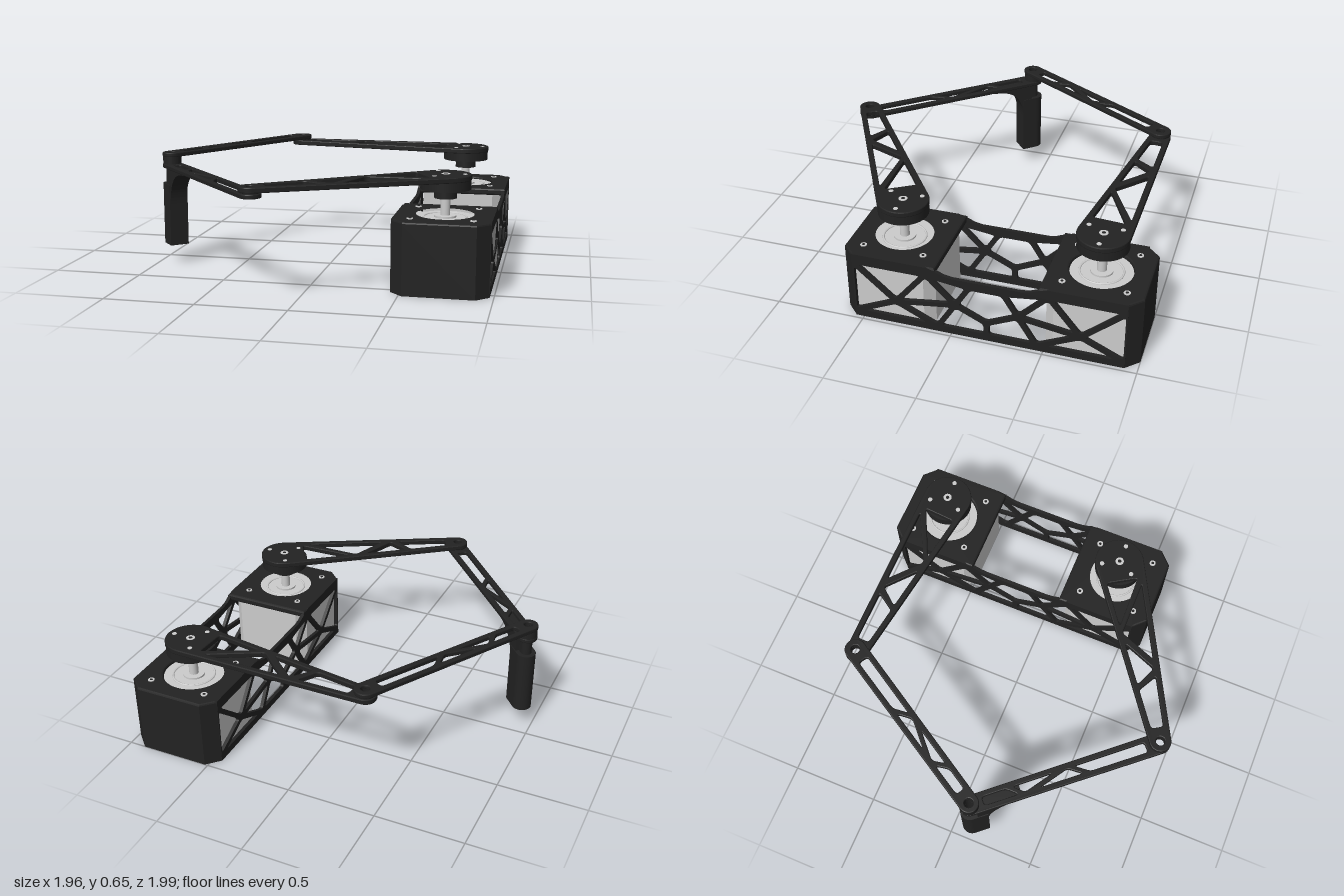
import * as THREE from 'three';

const black = new THREE.MeshStandardMaterial({ color: 0x222222 });
const silver = new THREE.MeshStandardMaterial({ color: 0xcccccc });
const V = (x, y) => new THREE.Vector2(x, y);

function add(parent, name, geometry, material = black) {
  const mesh = new THREE.Mesh(geometry, material);
  mesh.name = name;
  parent.add(mesh);
  return mesh;
}

function disc(parent, name, r, y0, y1, x, z, material = black) {
  const mesh = add(parent, name, new THREE.CylinderGeometry(r, r, y1 - y0, 40), material);
  mesh.position.set(x, (y0 + y1) / 2, z);
  return mesh;
}

// Extrusion whose bevel stays inside the outline
function extrude(shape, depth, bevel = 0) {
  const g = new THREE.ExtrudeGeometry(shape, {
    depth: depth - 2 * bevel, curveSegments: 20, bevelEnabled: bevel > 0,
    bevelThickness: bevel, bevelSize: bevel, bevelOffset: -bevel, bevelSegments: 2,
  });
  return g.translate(0, 0, bevel);
}

// Lays a shape flat (shape y becomes -z) between two heights
const flat = (shape, y0, y1, bevel) =>
  extrude(shape, y1 - y0, bevel).rotateX(-Math.PI / 2).translate(0, y0, 0);

function circleHole(x, y, r) {
  const p = new THREE.Path();
  p.absarc(x, y, r, 0, Math.PI * 2, true);
  return p;
}

// Truss window: polygon inset by half a bar, with rounded corners
function windowHole(points, inset, round = 0.02) {
  const pts = THREE.ShapeUtils.area(points) < 0 ? [...points].reverse() : points;
  const n = pts.length;
  const q = pts.map((c, i) => {
    const a = c.clone().sub(pts[(i + n - 1) % n]).normalize();
    const b = pts[(i + 1) % n].clone().sub(c).normalize();
    const k = inset / (1 + a.dot(b));
    return V(c.x - (a.y + b.y) * k, c.y + (a.x + b.x) * k);
  });
  const toward = (a, b) => a.clone().lerp(b, Math.min(0.35, round / a.distanceTo(b)));
  const path = new THREE.Path();
  q.forEach((c, i) => {
    const s = toward(c, q[(i + n - 1) % n]), e = toward(c, q[(i + 1) % n]);
    if (i) path.lineTo(s.x, s.y); else path.moveTo(s.x, s.y);
    path.quadraticCurveTo(c.x, c.y, e.x, e.y);
  });
  path.closePath();
  return path;
}

// Tapered truss link from point a to point b; windows are lists of [fraction, side]
function link(parent, name, a, b, ra, rb, y0, y1, windows, flip, holeB) {
  const L = Math.hypot(b[0] - a[0], b[1] - a[1]);
  const t = Math.acos((ra - rb) / L);
  const shape = new THREE.Shape();
  shape.absarc(0, 0, ra, t, Math.PI * 2 - t, false);
  shape.absarc(L, 0, rb, -t, t, false);
  shape.holes.push(circleHole(0, 0, 0.025));
  if (holeB) shape.holes.push(circleHole(L, 0, 0.025));
  for (const w of windows) {
    const pts = w.map(([s, side]) => V(s * L, flip * side * (ra + (rb - ra) * s - 0.018)));
    shape.holes.push(windowHole(pts, 0.013));
  }
  const mesh = add(parent, name, flat(shape, y0, y1, 0.005));
  mesh.position.set(a[0], 0, a[1]);
  mesh.rotation.y = Math.atan2(a[1] - b[1], b[0] - a[0]);
  return mesh;
}

const CX = 0.713, HALF = 0.265, ZC = -0.1925, END = 0.8075;

// Side panel with a dipped top edge and truss windows
function sidePanel() {
  const top = [[0.74, 0.4], [0.33, 0.4], [0.29, 0.39], [0.23, 0.365], [0.19, 0.358]];
  const half = [[0.74, 0], ...top];
  const shape = new THREE.Shape([
    ...half.map(([u, y]) => V(u, y)),
    ...half.reverse().map(([u, y]) => V(-u, y)),
  ]);
  const TL = [0.745, 0.352], BL = [0.745, 0.028], X = [0.503, 0.14], T1 = [0.33, 0.352];
  const A = [0.17, 0.19], B1 = [0.27, 0.028], T2 = [0.09, 0.32], C = [0, 0.11], B0 = [0, 0.028];
  const cells = [[TL, BL, X], [TL, X, T1], [BL, B1, X], [X, T1, A], [X, A, B1], [T1, T2, A], [A, C, B0, B1]];
  for (const s of [1, -1])
    for (const c of cells) shape.holes.push(windowHole(c.map(([u, y]) => V(s * u, y)), 0.014));
  const m = ([u, y]) => V(-u, y);
  shape.holes.push(windowHole([V(...T2), m(T2), m(A), V(...C), V(...A)], 0.014));
  return extrude(shape, 0.02).rotateY(Math.PI / 2);
}

// Motor bay at one end: end wall, top plate, motor, shaft and hub
function motorBay(parent, name, e) {
  const bay = new THREE.Group();
  bay.name = name;
  bay.position.set(CX, 0, ZC + e * END);
  parent.add(bay);
  const P = (x, v) => V(x, e * v); // v runs inward from the end
  const wall = [[HALF, 0.07], [HALF - 0.07, 0]];
  const inner = [[HALF - 0.02, 0.078], [HALF - 0.078, 0.02]];
  const mirror = (l) => [...l].reverse().map(([x, v]) => [-x, v]);
  const u = [...wall, ...mirror(wall), ...[...inner, ...mirror(inner)].reverse()];
  add(bay, 'endWall', flat(new THREE.Shape(u.map((p) => P(...p))), 0, 0.385));

  const outline = [[HALF, 0.53], ...wall, ...mirror(wall), [-HALF, 0.53]];
  const plate = new THREE.Shape(outline.map((p) => P(...p)));
  plate.holes.push(circleHole(0, e * 0.265, 0.168));
  add(bay, 'topPlate', flat(plate, 0.36, 0.4, 0.01));

  const z = -e * 0.265;
  const k = 0.24, c = 0.19;
  const body = new THREE.Shape([V(k, -c), V(k, c), V(c, k), V(-c, k), V(-k, c), V(-k, -c), V(-c, -k), V(c, -k)]);
  add(bay, 'motorBody', flat(body, 0.01, 0.36), silver).position.z = z;
  disc(bay, 'motorFace', 0.166, 0.36, 0.385, 0, z, silver);
  const ring = add(bay, 'motorFaceRing', new THREE.TorusGeometry(0.115, 0.006, 8, 48), silver);
  ring.rotation.x = Math.PI / 2;
  ring.position.set(0, 0.385, z);
  disc(bay, 'motorBoss', 0.06, 0.385, 0.395, 0, z, silver);
  disc(bay, 'motorShaft', 0.026, 0.39, 0.6, 0, z, silver);
  for (const sx of [-1, 1])
    for (const sz of [-1, 1]) {
      disc(bay, 'mountScrew', 0.018, 0.39, 0.404, sx * 0.168, z + sz * 0.168, silver);
      disc(bay, 'screwSocket', 0.008, 0.4, 0.405, sx * 0.168, z + sz * 0.168);
    }

  disc(bay, 'hubCollar', 0.062, 0.49, 0.54, 0, z);
  disc(bay, 'hubDisc', 0.137, 0.54, 0.592, 0, z);
  disc(bay, 'hubCentreScrew', 0.024, 0.59, 0.622, 0, z, silver);
  disc(bay, 'hubScrewSocket', 0.01, 0.61, 0.623, 0, z);
  for (let i = 0; i < 3; i++) {
    const a = (i * Math.PI * 2) / 3;
    disc(bay, 'hubScrew', 0.013, 0.61, 0.622, 0.103 * Math.cos(a), z + 0.103 * Math.sin(a), silver);
  }
}

// Flat ring between joined links
function spacer(parent, [x, z], y0, y1) {
  const s = new THREE.Shape();
  s.absarc(0, 0, 0.053, 0, Math.PI * 2, false);
  s.holes.push(circleHole(0, 0, 0.025));
  add(parent, 'jointSpacer', flat(s, y0, y1)).position.set(x, 0, z);
}

export function createModel() {
  const model = new THREE.Group();
  model.name = 'fiveBarPlotter';

  // Base
  const base = new THREE.Group();
  base.name = 'base';
  model.add(base);
  for (const x of [CX - HALF, CX + HALF - 0.02])
    add(base, 'sidePanel', sidePanel()).position.set(x, 0, ZC);
  motorBay(base, 'frontMotorBay', 1);
  motorBay(base, 'rearMotorBay', -1);

  // Arms
  const tip = [-0.93, 0.11], rearElbow = [-0.37, -0.82], frontElbow = [-0.21, 0.935];
  const upper = [
    [[0.06, 1], [0.06, -1], [0.29, -1], [0.36, 1]],
    [[0.29, -1], [0.38, 1], [0.58, -1]],
    [[0.4, 1], [0.9, 1], [0.6, -1]],
    [[0.6, -1], [0.9, 0.9], [0.9, -1]],
  ];
  const fore = [
    [[0.06, 1], [0.06, -1], [0.2, -1], [0.28, 1]],
    [[0.2, -1], [0.28, 1], [0.52, -1]],
    [[0.28, 1], [0.62, 1], [0.52, -1]],
    [[0.52, -1], [0.62, 1], [0.94, 1], [0.94, -1]],
  ];
  link(model, 'rearUpperArm', rearElbow, [CX, -0.735], 0.06, 0.14, 0.59, 0.62, upper, 1, false);
  link(model, 'frontUpperArm', frontElbow, [CX, 0.35], 0.06, 0.14, 0.59, 0.62, upper, -1, false);
  link(model, 'rearForearm', tip, rearElbow, 0.055, 0.06, 0.627, 0.652, fore, 1, true);
  const foreArm = link(model, 'frontForearm', tip, frontElbow, 0.055, 0.06, 0.56, 0.585, fore, -1, true);
  spacer(model, tip, 0.583, 0.63);
  spacer(model, rearElbow, 0.615, 0.63);
  spacer(model, frontElbow, 0.58, 0.595);

  // Pen holder, hanging below the tip and aligned with the front forearm
  const holder = new THREE.Group();
  holder.name = 'penHolder';
  holder.position.copy(foreArm.position);
  holder.rotation.copy(foreArm.rotation);
  model.add(holder);
  const sleeve = (r, d) => {
    const s = new THREE.Shape();
    s.absarc(0, 0, r, Math.PI / 2, Math.PI * 1.5, false);
    s.lineTo(d, -r);
    s.lineTo(d, r);
    s.holes.push(circleHole(0, 0, 0.025));
    return s;
  };
  add(holder, 'penSleeve', flat(sleeve(0.055, 0.09), 0.11, 0.47));
  add(holder, 'sleeveNeck', flat(sleeve(0.03, 0.09), 0.47, 0.562));
  const gusset = new THREE.Shape();
  gusset.moveTo(0.03, 0.36);
  gusset.lineTo(0.09, 0.36);
  gusset.bezierCurveTo(0.09, 0.48, 0.16, 0.555, 0.29, 0.555);
  gusset.lineTo(0.29, 0.565);
  gusset.lineTo(0.03, 0.565);
  add(holder, 'curvedGusset', extrude(gusset, 0.1).translate(0, 0, -0.05));

  return model;
}
